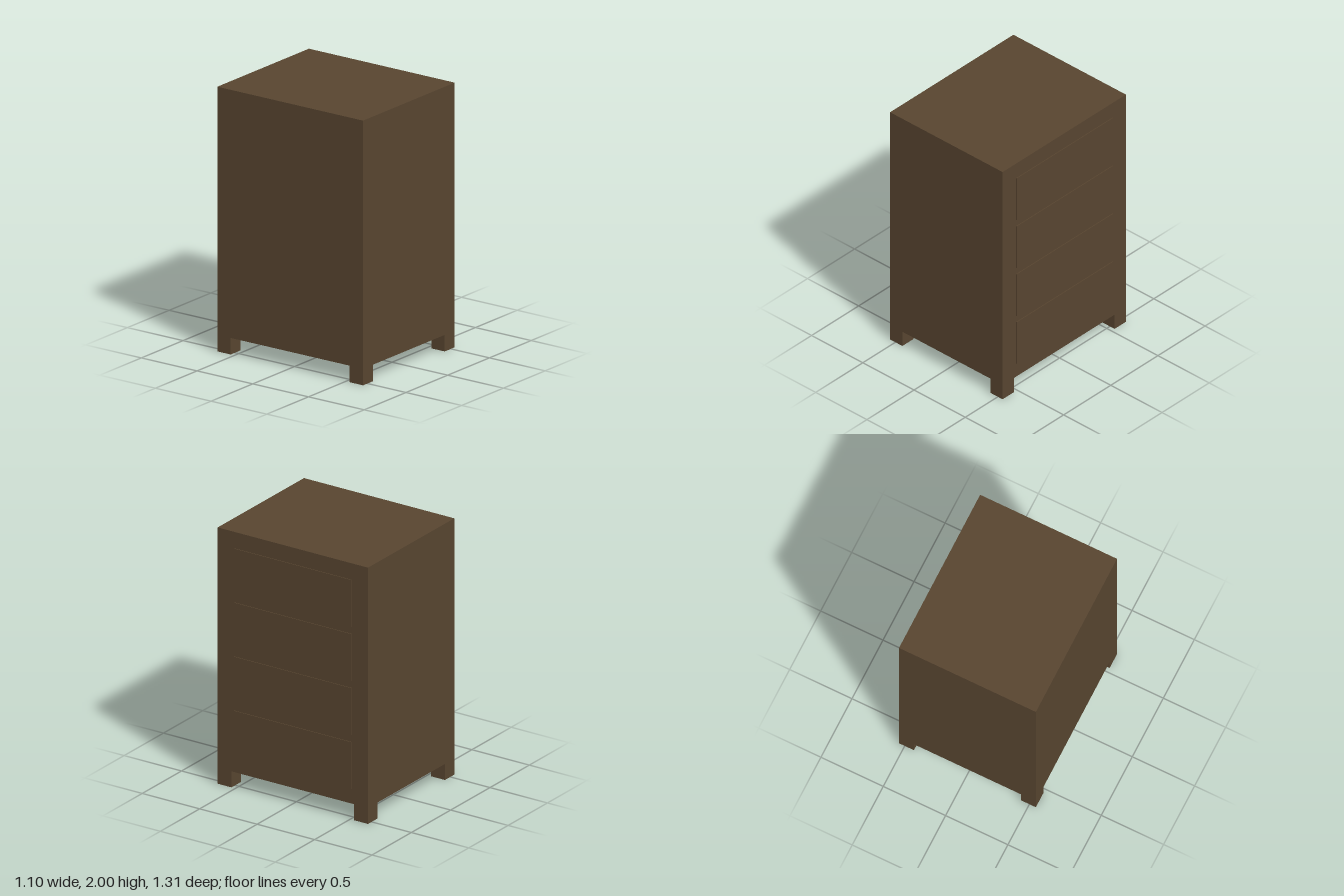
import * as THREE from 'three';

export function createModel() {
  const group = new THREE.Group();
  const wood = new THREE.MeshStandardMaterial({ color: 0x584530 });
  wood.name = 'dark brown wood';

  // box given by its minimum and maximum corners
  const box = (name, [x0, y0, z0], [x1, y1, z1]) => {
    const mesh = new THREE.Mesh(new THREE.BoxGeometry(x1 - x0, y1 - y0, z1 - z0), wood);
    mesh.position.set((x0 + x1) / 2, (y0 + y1) / 2, (z0 + z1) / 2);
    mesh.name = name;
    group.add(mesh);
  };

  const back = -0.552, face = 0.546, halfZ = 0.654, base = 0.125, leg = 0.12;

  // cabinet body
  box('cabinet', [back, base, -halfZ], [face, 2, halfZ]);

  // four thin drawer fronts on the +x side
  for (let i = 0; i < 4; i++) {
    const y = 0.238 + i * 0.422;
    box('drawerFront' + (i + 1), [face - 0.004, y, -0.51], [0.552, y + 0.368, 0.51]);
  }

  // square corner legs
  for (const x of [back, face - leg]) {
    for (const z of [-halfZ, halfZ - leg]) {
      box('leg', [x, 0, z], [x + leg, base, z + leg]);
    }
  }
  return group;
}
